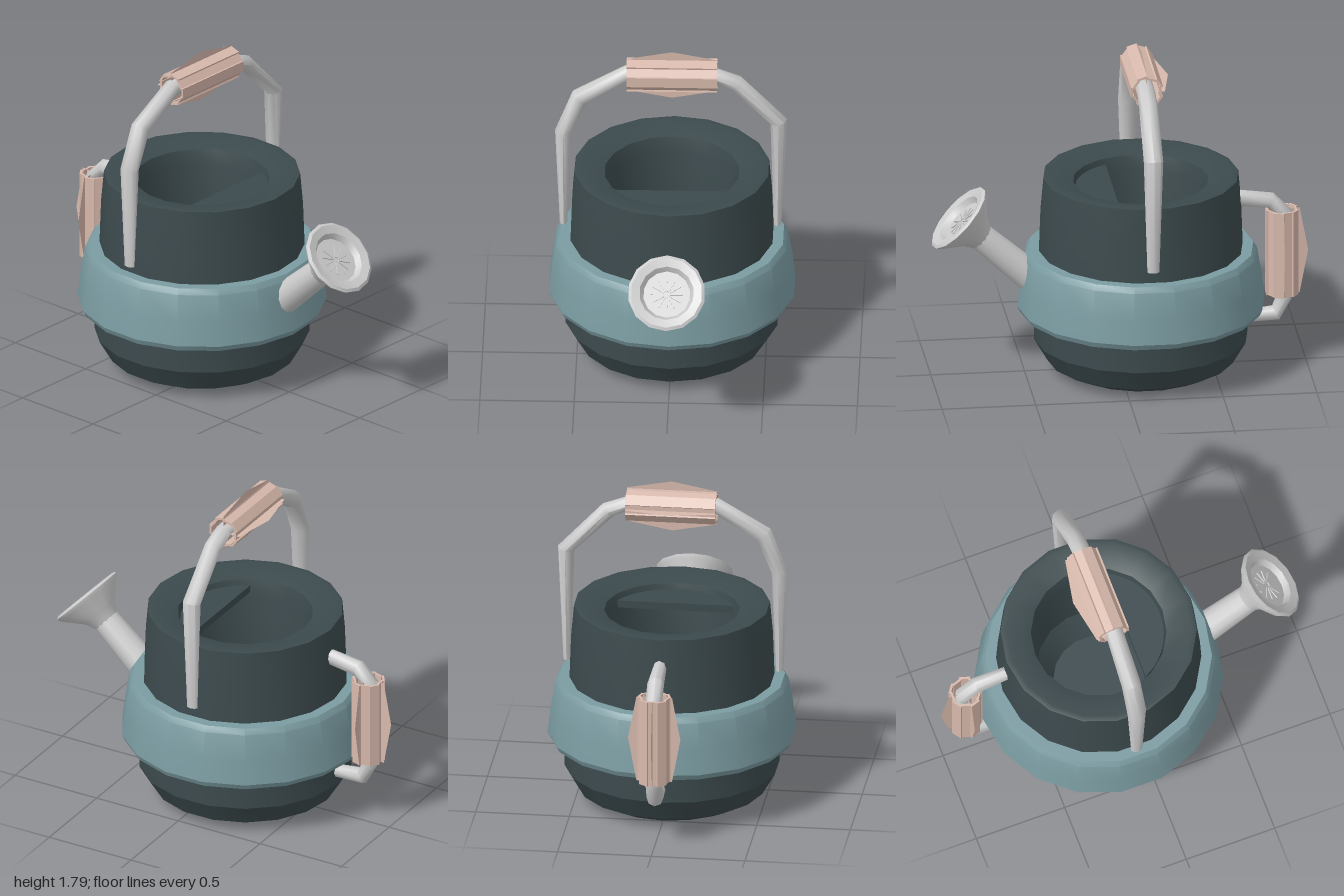
import * as THREE from 'three';
import { toCreasedNormals } from 'three/addons/utils/BufferGeometryUtils.js';

const CZ = -0.12; // axis of the pot
const mat = (color) => new THREE.MeshStandardMaterial({ color, side: THREE.DoubleSide });
const dark = mat(0x3c4a4d), teal = mat(0x7b9ca2), pink = mat(0xd8b9ac), grey = mat(0xcccccc);

function add(parent, name, geometry, material) {
  const mesh = new THREE.Mesh(geometry, material);
  mesh.name = name;
  parent.add(mesh);
  return mesh;
}

// Turned part from [radius, height] pairs
function lathe(points, sides = 18) {
  const g = new THREE.LatheGeometry(points.map(([r, y]) => new THREE.Vector2(r, y)), sides);
  return toCreasedNormals(g, 0.5);
}

// Bent bar: rings of 8 corners along a path in one plane, mitred at the bends.
// Each station is [u, v, half thickness, half width]; u, v lie in the plane.
function bar(stations, place) {
  const pos = [], index = [], n = 8, last = stations.length - 1;
  stations.forEach(([u, v, t, w], i) => {
    const a = stations[Math.max(i - 1, 0)], b = stations[Math.min(i + 1, last)];
    const len = Math.hypot(b[0] - a[0], b[1] - a[1]);
    const nu = -(b[1] - a[1]) / len, nv = (b[0] - a[0]) / len;
    for (let k = 0; k < n; k++) {
      const q = (k / n) * Math.PI * 2, c = Math.cos(q) * t;
      pos.push(...place(u + nu * c, v + nv * c, Math.sin(q) * w));
      if (i < last) {
        const p = i * n + k, s = i * n + (k + 1) % n;
        index.push(p, s, p + n, s, s + n, p + n);
      }
    }
  });
  for (let k = 1; k < n - 1; k++) {
    index.push(0, k + 1, k, last * n, last * n + k, last * n + k + 1);
  }
  const g = new THREE.BufferGeometry();
  g.setAttribute('position', new THREE.Float32BufferAttribute(pos, 3));
  g.setIndex(index);
  return toCreasedNormals(g, 0.9);
}

// Grip along local y: wrapped sleeve of slats with pointed flaps on three sides
function makeGrip(name, length) {
  const grip = new THREE.Group();
  grip.name = name;
  const h = length / 2;
  for (let i = 0; i < 10; i++) {
    const a = (i / 10) * Math.PI * 2, r = i % 2 ? 0.072 : 0.08;
    const slat = add(grip, 'gripSlat', new THREE.BoxGeometry(0.056, length, 0.012), pink);
    slat.position.set(Math.sin(a) * r, 0, Math.cos(a) * r);
    slat.rotation.y = a;
  }
  const flap = new THREE.Shape([[0.04, -h], [0.095, -h], [0.14, 0], [0.095, h], [0.04, h]]
    .map(([x, y]) => new THREE.Vector2(x, y)));
  for (const a of [0, Math.PI / 2, Math.PI]) {
    add(grip, 'gripFlap', new THREE.ShapeGeometry(flap), pink).rotation.y = a;
  }
  return grip;
}

export function createModel() {
  const model = new THREE.Group();
  model.name = 'wateringCan';

  // Pot: lower bowl, upper collar with open mouth, belt around the middle
  const pot = new THREE.Group();
  pot.name = 'pot';
  pot.position.z = CZ;
  model.add(pot);
  add(pot, 'bowl', lathe([[0, 0], [0.4, 0.01], [0.5, 0.06], [0.57, 0.18], [0.57, 0.36]]), dark);
  add(pot, 'collar', lathe([
    [0.545, 0.64], [0.535, 0.92], [0.52, 1.09], [0.49, 1.095], [0.36, 1.06],
    [0.34, 0.98], [0.33, 0.5], [0.24, 0.35], [0, 0.35],
  ]), dark);
  add(pot, 'belt', lathe([
    [0.55, 0.34], [0.645, 0.34], [0.66, 0.37], [0.645, 0.5],
    [0.62, 0.65], [0.6, 0.68], [0.54, 0.68],
  ]), teal);

  // Half-moon cover over the front of the mouth
  const cover = new THREE.Shape();
  cover.absarc(0, 0, 0.345, Math.PI + 0.45, Math.PI * 2 - 0.45);
  const coverMesh = add(pot, 'mouthCover',
    new THREE.ExtrudeGeometry(cover, { depth: 0.04, bevelEnabled: false, curveSegments: 10 }), dark);
  coverMesh.rotation.x = -Math.PI / 2;
  coverMesh.position.y = 0.99;

  // Top handle arching from side to side
  add(model, 'topHandle', bar([
    [-0.575, 0.74, 0.02, 0.032], [-0.575, 1.3, 0.045, 0.052], [-0.49, 1.51, 0.05, 0.052],
    [-0.24, 1.66, 0.045, 0.048], [0.24, 1.65, 0.04, 0.048], [0.34, 1.61, 0.045, 0.05],
    [0.565, 1.38, 0.045, 0.052], [0.56, 0.75, 0.02, 0.032],
  ], (u, v, w) => [u, v, CZ + w]), grey);
  const topGrip = makeGrip('topGrip', 0.48);
  topGrip.position.set(0, 1.65, CZ - 0.005);
  topGrip.rotation.z = -Math.PI / 2;
  // turned so the middle flap points down
  topGrip.children.filter((c) => c.name === 'gripFlap').forEach((c) => { c.position.y = 0; });
  model.add(topGrip);

  // Back handle
  add(model, 'backHandle', bar([
    [-0.62, 0.935, 0.045, 0.035], [-0.81, 0.91, 0.045, 0.045], [-0.885, 0.84, 0.045, 0.045],
    [-0.885, 0.36, 0.045, 0.045], [-0.84, 0.27, 0.045, 0.045], [-0.66, 0.255, 0.035, 0.035],
  ], (u, v, w) => [w, v, u]), grey);
  const backGrip = makeGrip('backGrip', 0.48);
  backGrip.position.set(0, 0.62, -0.873);
  model.add(backGrip);

  // Middle flap of each grip faces away from the hand opening or down
  backGrip.children.filter((c) => c.name === 'gripFlap')[1].rotation.y = Math.PI / 2;
  topGrip.children.filter((c) => c.name === 'gripFlap')[0].rotation.y = 0;

  // Spout pipe
  const from = new THREE.Vector3(0, 0.53, 0.46), to = new THREE.Vector3(0, 0.8, 0.76);
  const dir = to.clone().sub(from);
  const pipe = add(model, 'spoutPipe',
    new THREE.CylinderGeometry(0.073, 0.085, dir.length(), 12), grey);
  pipe.position.copy(from).lerp(to, 0.5);
  pipe.quaternion.setFromUnitVectors(new THREE.Vector3(0, 1, 0), dir.normalize());

  // Sprinkler rose: flared cup with a sunken, slotted face
  const rose = new THREE.Group();
  rose.name = 'sprinklerRose';
  rose.position.set(0, 0.78, 0.74);
  rose.rotation.x = 0.81;
  model.add(rose);
  add(rose, 'roseCup', lathe([
    [0, -0.03], [0.07, -0.02], [0.1, 0.04], [0.195, 0.135], [0.206, 0.155],
    [0.19, 0.165], [0.145, 0.155], [0.125, 0.125], [0, 0.125],
  ], 14), grey);
  for (let i = 0; i < 12; i++) {
    const a = (i / 12) * Math.PI * 2;
    const rib = add(rose, 'roseRib', new THREE.BoxGeometry(0.008, 0.008, 0.07), grey);
    rib.position.set(Math.sin(a) * 0.05, 0.128, Math.cos(a) * 0.05);
    rib.rotation.y = a;
  }
  return model;
}
